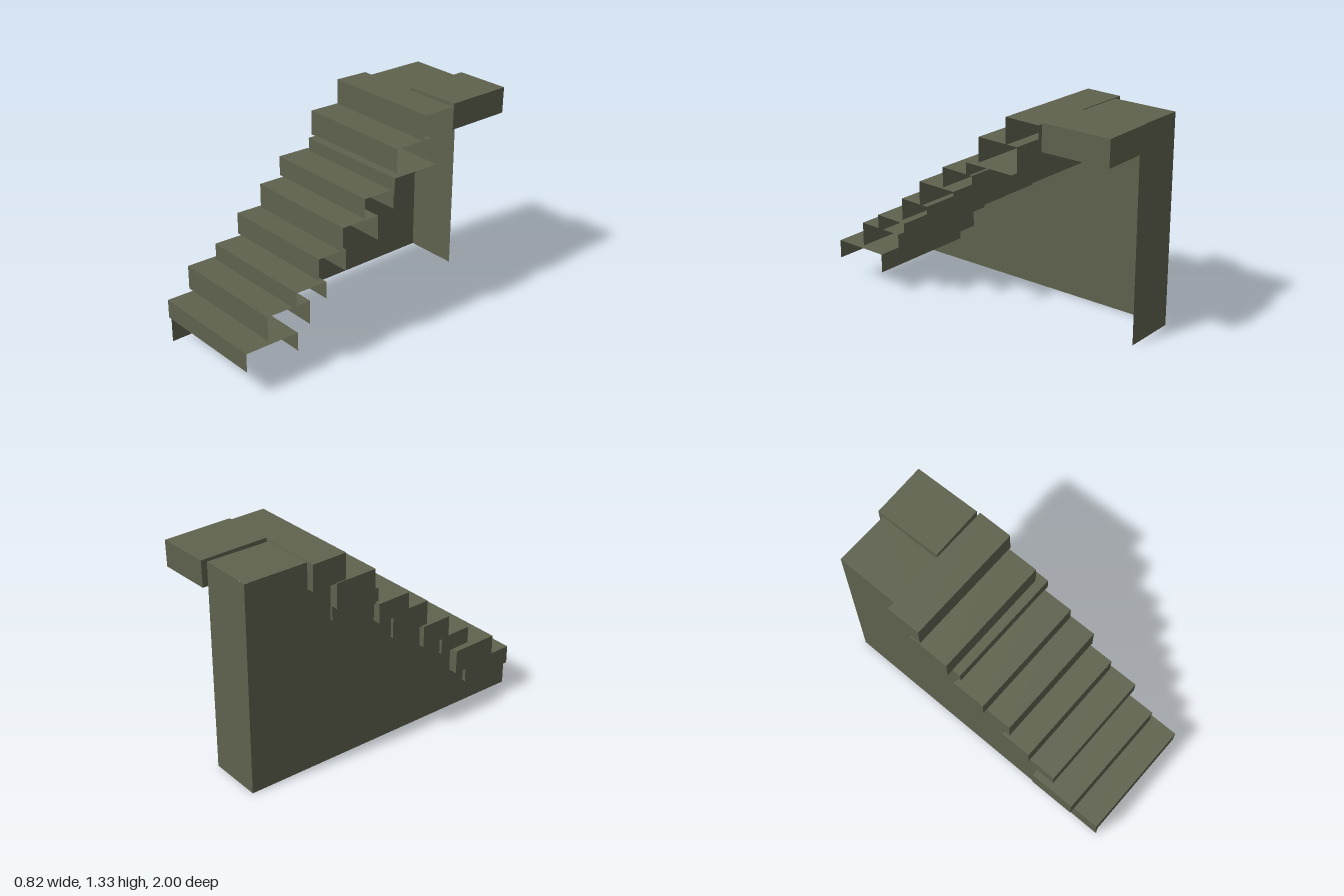
import * as THREE from 'three';

const oliveStone = new THREE.MeshStandardMaterial({ color: 0x5e624d, side: THREE.DoubleSide });
oliveStone.name = 'oliveStone';

// Box shell keeping only the listed faces (0 +x, 1 -x, 2 +y, 3 -y, 4 +z, 5 -z)
function shell(w, h, d, faces) {
  const geo = new THREE.BoxGeometry(w, h, d);
  const all = Array.from(geo.index.array);
  geo.setIndex(faces.flatMap((f) => all.slice(f * 6, f * 6 + 6)));
  geo.clearGroups();
  return geo;
}

function addMesh(parent, name, geo) {
  const mesh = new THREE.Mesh(geo, oliveStone);
  mesh.name = name;
  parent.add(mesh);
  return mesh;
}

export function createModel() {
  const group = new THREE.Group();
  group.name = 'staircase';

  // Uneven treads: x min, x max, lowest y, top y, front z, back z
  const treads = [
    [-0.375, 0.393, 0.155, 0.28, 1.0, 0.64],
    [-0.41, 0.36, 0.27, 0.43, 0.825, 0.525],
    [-0.37, 0.4, 0.42, 0.535, 0.65, 0.435],
    [-0.388, 0.375, 0.53, 0.674, 0.47, 0.27],
    [-0.37, 0.393, 0.66, 0.822, 0.308, 0.045],
    [-0.4, 0.38, 0.812, 0.943, 0.135, -0.085],
    [-0.365, 0.408, 0.918, 1.02, -0.065, -0.395],
    [-0.407, 0.363, 1.007, 1.17, -0.122, -0.395],
    [-0.4, 0.373, 1.155, 1.325, -0.325, -0.55],
  ];
  const drop = 0.007; // each tread sinks slightly toward its back
  treads.forEach(([x0, x1, y0, y1, z1, z0], i) => {
    const h = y1 - y0 - drop;
    const d = z1 - z0;
    // Open underneath and on the free end
    const geo = shell(x1 - x0, h, d, [1, 2, 4, 5]);
    const p = geo.attributes.position;
    for (let k = 0; k < p.count; k++) {
      if (p.getZ(k) < 0) p.setY(k, p.getY(k) - drop);
    }
    geo.computeVertexNormals();
    addMesh(group, `step${i + 1}`, geo).position.set((x0 + x1) / 2, y1 - h / 2, (z0 + z1) / 2);
  });

  // Stepped side wall, drawn as (z, y) and turned to face sideways
  const profile = [
    [1, 0.008], [1, 0.19], [0.66, 0.18], [0.66, 0.35], [0.53, 0.35], [0.53, 0.425],
    [0.45, 0.42], [0.45, 0.668], [0.05, 0.665], [0.05, 0.935], [-0.39, 0.928],
    [-0.39, 1.316], [-0.955, 1.308], [-0.955, 0],
  ];
  const wallShape = new THREE.Shape(profile.map(([z, y]) => new THREE.Vector2(-z, y)));
  const wall = addMesh(group, 'sideWall', new THREE.ShapeGeometry(wallShape));
  wall.rotation.y = Math.PI / 2;
  wall.position.x = -0.35;

  // Narrow back wall
  const back = addMesh(group, 'backWall', new THREE.PlaneGeometry(0.35, 1.308));
  back.rotation.y = Math.PI;
  back.position.set(-0.175, 0.654, -0.955);

  // Upper landing sheet
  const landing = addMesh(group, 'landing', new THREE.PlaneGeometry(0.35, 0.565));
  landing.rotation.x = -Math.PI / 2 - 0.014;
  landing.position.set(-0.175, 1.312, -0.6725);

  // Loose landing slab, hollow underneath and slightly askew
  const slab = addMesh(group, 'looseLandingSlab', shell(0.35, 0.163, 0.435, [0, 1, 2, 4, 5]));
  slab.rotation.set(-0.018, 0.025, 0);
  slab.position.set(0.182, 1.247, -0.777);

  return group;
}
